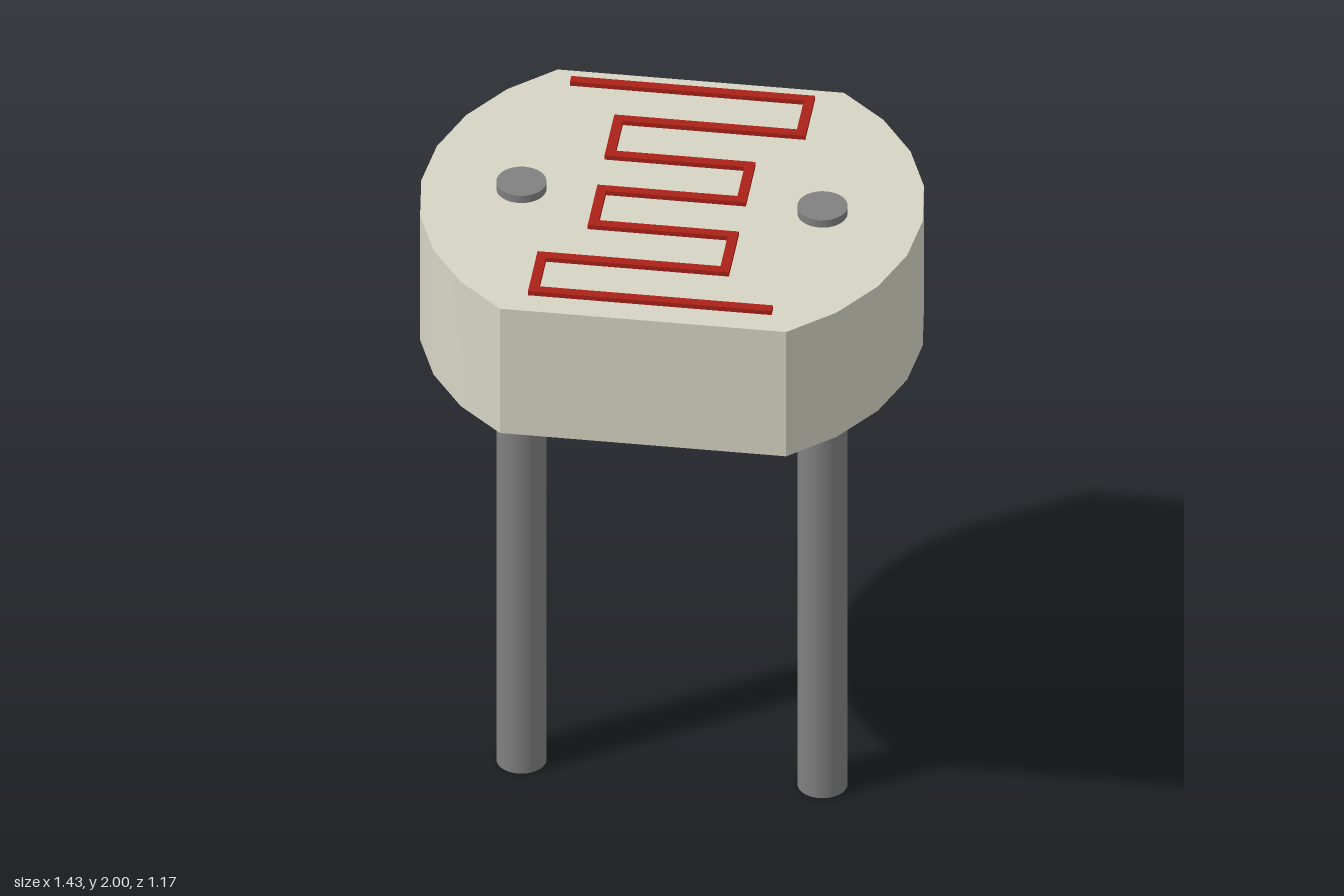
import * as THREE from 'three';
import { toCreasedNormals } from 'three/addons/utils/BufferGeometryUtils.js';

const ceramic = new THREE.MeshStandardMaterial({ color: 0xd6d4c4 });
const metal = new THREE.MeshStandardMaterial({ color: 0x808080 });
const red = new THREE.MeshStandardMaterial({ color: 0xaa2018 });

const BODY_BOTTOM = 1.545, BODY_TOP = 1.975, SKIN = 0.001;

// Round disc outline with the front and back cut flat
function discOutline() {
  const pts = [], r = 0.713, half = THREE.MathUtils.degToRad(55.2), n = 8;
  for (const turn of [0, Math.PI]) {
    for (let i = 0; i <= n; i++) {
      const a = turn - half + (2 * half * i) / n;
      pts.push(new THREE.Vector2(r * Math.cos(a), r * Math.sin(a)));
    }
  }
  return new THREE.Shape(pts);
}

// Ribbon of constant width along a path of right-angled turns, with mitred corners
function ribbonOutline(path, width) {
  const sides = [[], []];
  path.forEach((p, i) => {
    const offset = new THREE.Vector2();
    const normal = (a, b) => {
      const d = b.clone().sub(a).normalize();
      return new THREE.Vector2(-d.y, d.x);
    };
    if (i > 0) offset.add(normal(path[i - 1], p));
    if (i < path.length - 1) offset.add(normal(p, path[i + 1]));
    offset.multiplyScalar(width / 2);
    sides[0].push(p.clone().add(offset));
    sides[1].push(p.clone().sub(offset));
  });
  return new THREE.Shape([...sides[0], ...sides[1].reverse()]);
}

// Upright slab: the shape's y becomes -z
function slab(shape, bottom, top) {
  const geo = new THREE.ExtrudeGeometry(shape, { depth: top - bottom, bevelEnabled: false });
  geo.rotateX(-Math.PI / 2);
  geo.translate(0, bottom, 0);
  return geo;
}

export function createModel() {
  const model = new THREE.Group();
  const add = (name, geo, material) => {
    const mesh = new THREE.Mesh(geo, material);
    mesh.name = name;
    model.add(mesh);
    return mesh;
  };

  // Ceramic disc, smooth round the arcs and sharp at the flats
  const outline = discOutline();
  add('body', toCreasedNormals(slab(outline, BODY_BOTTOM, BODY_TOP), 0.5), ceramic);

  // Red underside of the disc
  add('bodyUnderside', new THREE.ShapeGeometry(outline).rotateX(Math.PI / 2), red)
    .position.y = BODY_BOTTOM - SKIN;

  // Serpentine sensing track
  const path = [
    [-0.36, 0.511], [0.319, 0.511], [0.319, 0.343], [-0.2, 0.343],
    [-0.2, 0.17], [0.198, 0.17], [0.198, 0], [-0.2, 0],
    [-0.2, -0.17], [0.198, -0.17], [0.198, -0.343], [-0.322, -0.343],
    [-0.322, -0.511], [0.357, -0.511],
  ].map(([x, y]) => new THREE.Vector2(x, y));
  add('sensingTrack', slab(ribbonOutline(path, 0.028), 1.986, 2), red);

  // Two wire leads through the disc, with red lower ends
  for (const [side, x] of [['left', 0.428], ['right', -0.428]]) {
    const lead = new THREE.CylinderGeometry(0.071, 0.071, 2 - SKIN, 32);
    add(side + 'Lead', lead, metal).position.set(x, 1 + SKIN / 2, 0);
    add(side + 'LeadEnd', new THREE.CircleGeometry(0.071, 32).rotateX(Math.PI / 2), red)
      .position.set(x, 0, 0);
  }

  return model;
}
